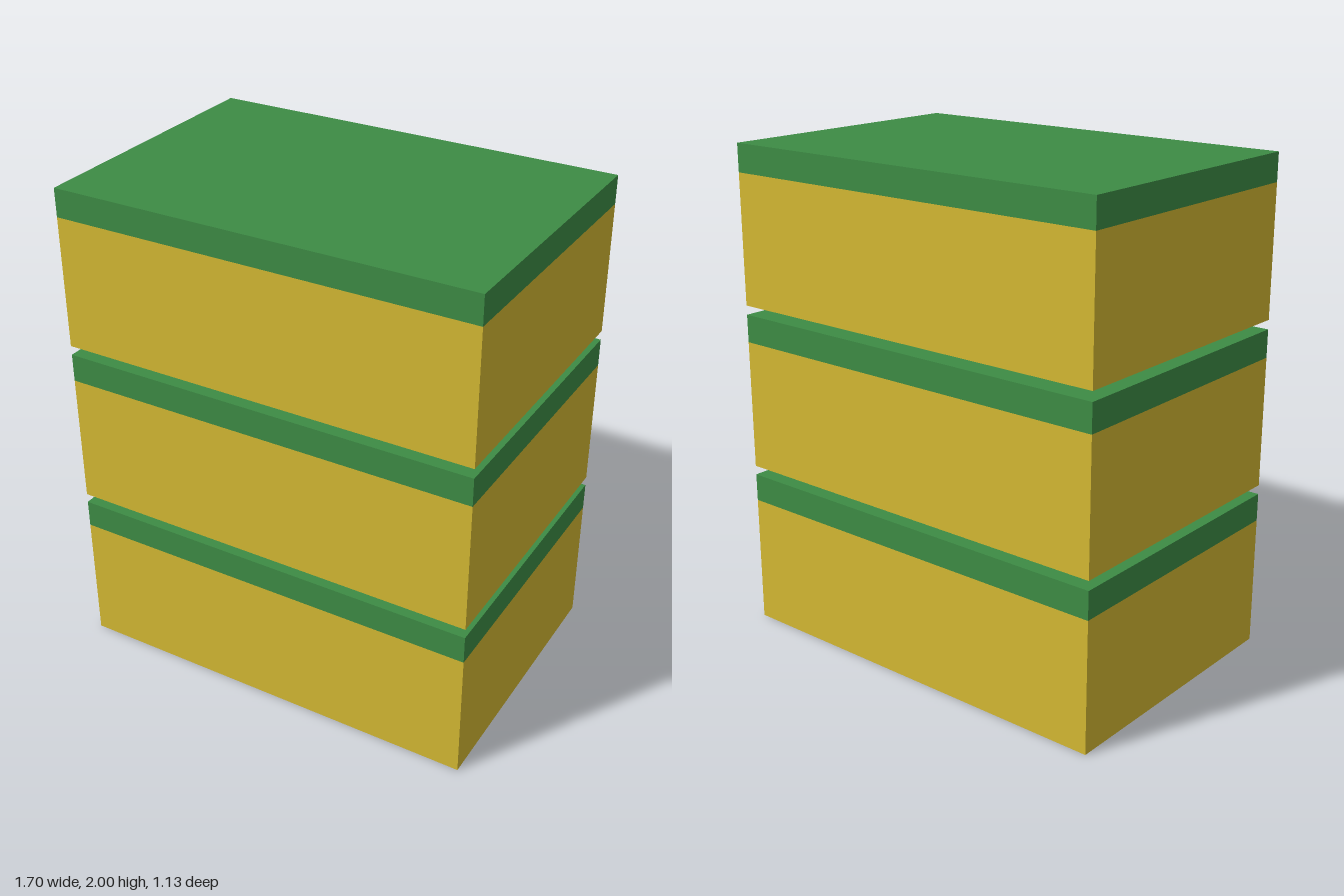
import * as THREE from 'three';

// Everything sits on a module: 45 wide, 30 deep, 53 tall
const U = 2 / 53;
const WIDTH = 45 * U, DEPTH = 30 * U;
const BODY = 14 * U, LID = 3 * U, GAP = U;

function slab(name, height, bottom, material) {
  const mesh = new THREE.Mesh(new THREE.BoxGeometry(WIDTH, height, DEPTH), material);
  mesh.name = name;
  mesh.position.y = bottom + height / 2;
  return mesh;
}

export function createModel() {
  const yellow = new THREE.MeshStandardMaterial({ color: 0xd4b932 });
  const green = new THREE.MeshStandardMaterial({ color: 0x3d8c45 });
  const model = new THREE.Group();
  model.name = 'boxStack';

  // Three identical lidded boxes, separated by narrow gaps
  for (let i = 0; i < 3; i++) {
    const box = new THREE.Group();
    box.name = `box${i + 1}`;
    box.position.y = i * (BODY + LID + GAP);
    box.add(slab('body', BODY, 0, yellow), slab('lid', LID, BODY, green));
    model.add(box);
  }
  return model;
}
